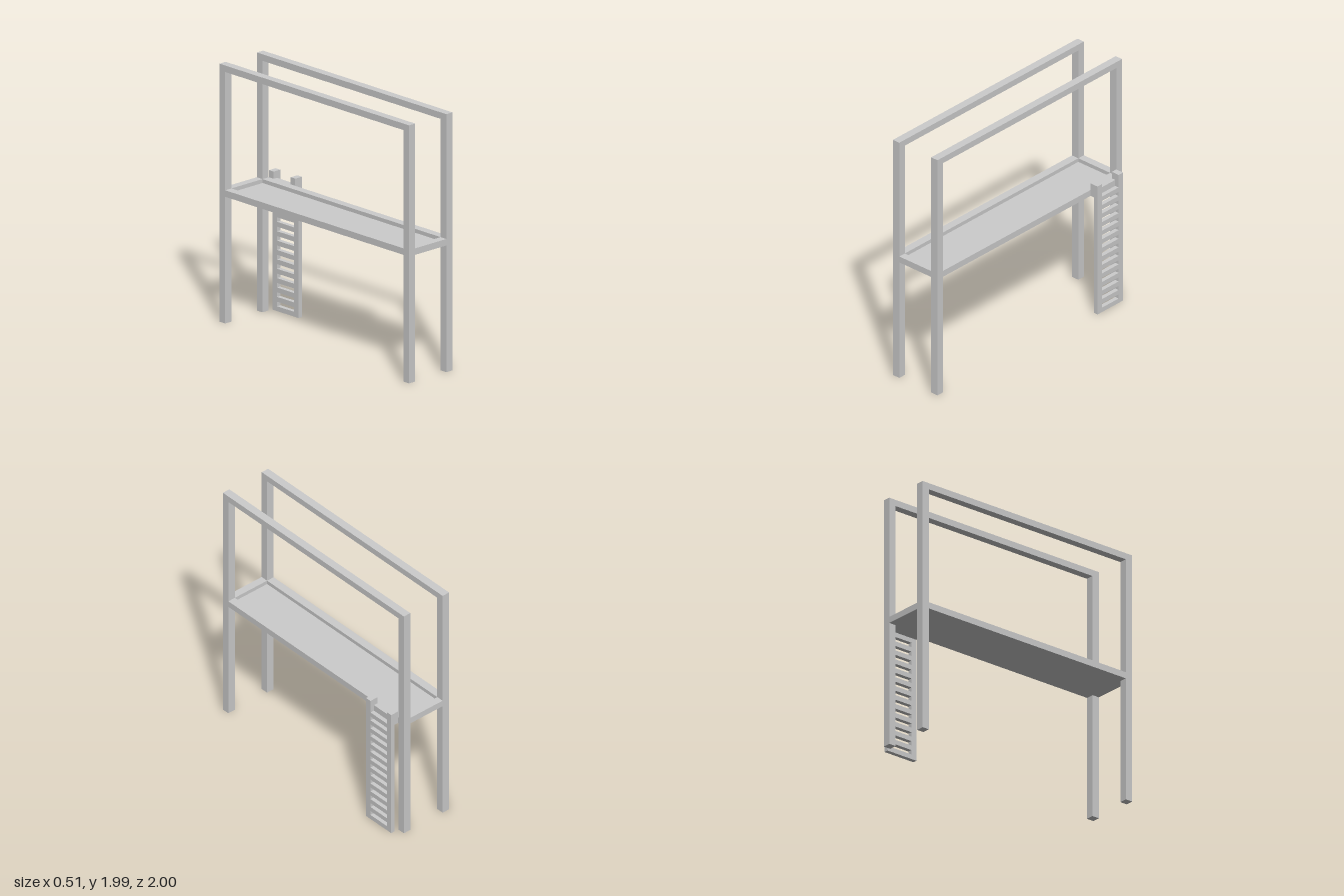
import * as THREE from 'three';

const material = new THREE.MeshStandardMaterial({ color: 0xcccccc, flatShading: true });

// Box given by its lower and upper limits on each axis
function addBox(parent, name, [x0, x1], [y0, y1], [z0, z1]) {
  const mesh = new THREE.Mesh(new THREE.BoxGeometry(x1 - x0, y1 - y0, z1 - z0), material);
  mesh.position.set((x0 + x1) / 2, (y0 + y1) / 2, (z0 + z1) / 2);
  mesh.name = name;
  parent.add(mesh);
}

function addGroup(parent, name) {
  const group = new THREE.Group();
  group.name = name;
  parent.add(group);
  return group;
}

export function createModel() {
  const model = new THREE.Group();
  model.name = 'raisedPlatform';

  const sides = { right: [-0.257, -0.194], left: [0.121, 0.184] };
  const ends = { front: [0.94, 1], back: [-1, -0.94] };
  const inner = [-0.94, 0.94];
  const floorY = [0.975, 1.025];
  const height = 1.985;

  // Posts, long floor beams and top rails on both sides
  const frame = addGroup(model, 'frame');
  for (const [side, x] of Object.entries(sides)) {
    for (const [end, z] of Object.entries(ends)) addBox(frame, `${side} ${end} post`, x, [0, height], z);
    addBox(frame, `${side} floor beam`, x, floorY, inner);
    addBox(frame, `${side} top rail`, x, [1.935, height], inner);
  }

  // Cross beams and the sunken deck
  const across = [sides.right[1], sides.left[0]];
  for (const [end, z] of Object.entries(ends)) addBox(frame, `${end} cross beam`, across, floorY, z);
  addBox(model, 'deck', across, [0.975, 0.995], inner);

  // Ladder: stiles with hooks at the top, a bridge to the floor beam, and rungs
  const ladder = addGroup(model, 'ladder');
  const ladderX = [0.218, 0.252];
  const stiles = { front: [-0.708, -0.66], back: [-0.937, -0.889] };
  const between = [-0.889, -0.708];
  for (const [end, z] of Object.entries(stiles)) {
    addBox(ladder, `${end} stile`, ladderX, [0, 0.975], z);
    addBox(ladder, `${end} hook`, [0.184, 0.252], [0.975, 1.08], z);
  }
  addBox(ladder, 'bridge', [0.184, 0.218], floorY, between);
  const rungs = 14, rungHeight = 0.037;
  for (let i = 0; i < rungs; i++) {
    const y = (i * (0.975 - rungHeight)) / (rungs - 1);
    addBox(ladder, `rung ${i + 1}`, ladderX, [y, y + rungHeight], between);
  }

  return model;
}
